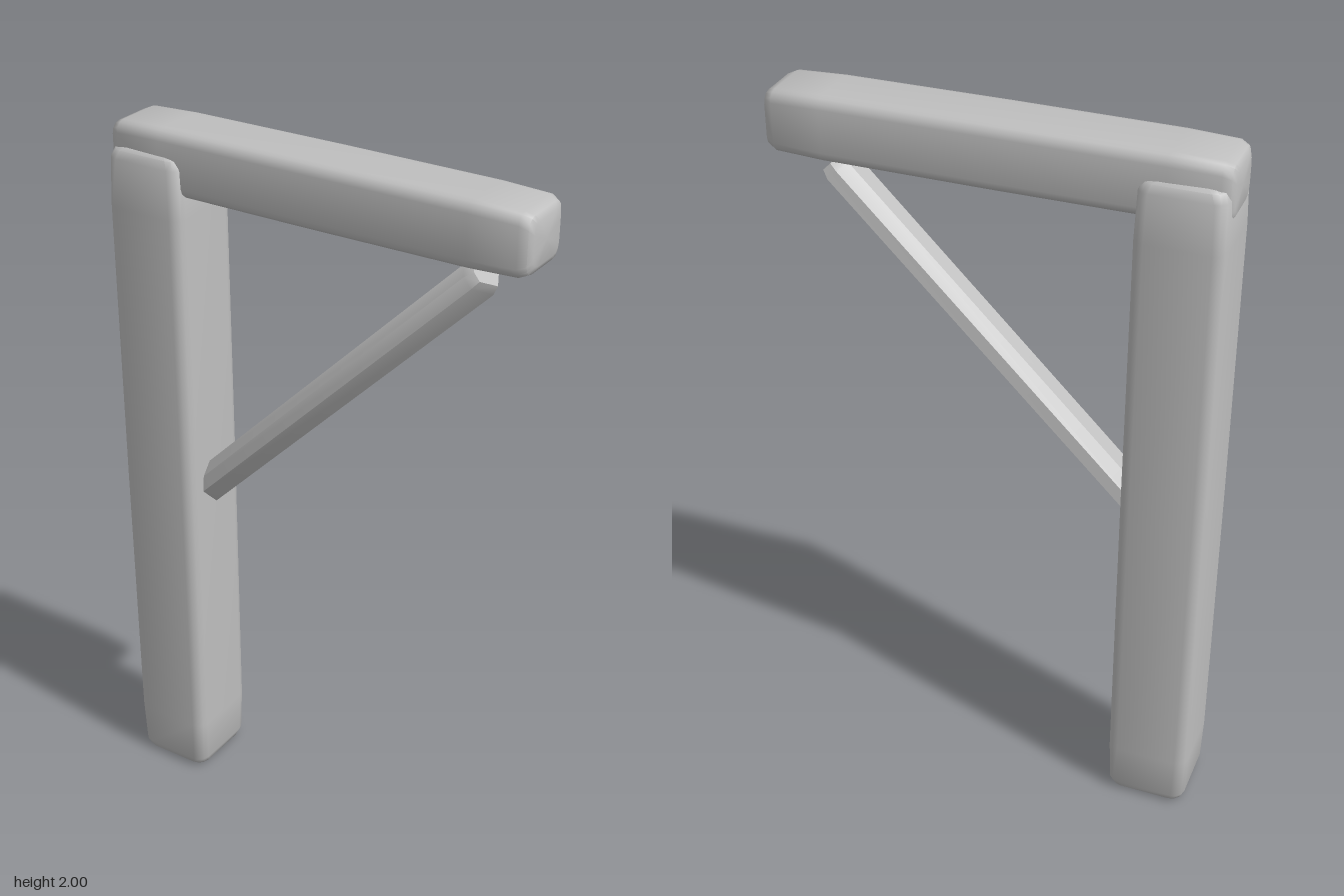
import * as THREE from 'three';
import { toCreasedNormals } from 'three/addons/utils/BufferGeometryUtils.js';

// Rounded rectangle outline in the x-z plane, half sizes a and b, corner radius r
function roundedRect(a, b, r, steps = 3) {
  const pts = [];
  [[1, 1], [-1, 1], [-1, -1], [1, -1]].forEach(([sx, sz], q) => {
    for (let i = 0; i <= steps; i++) {
      const t = (q + i / steps) * Math.PI / 2;
      pts.push([sx * (a - r) + r * Math.cos(t), sz * (b - r) + r * Math.sin(t)]);
    }
  });
  return pts;
}

// Skin a list of { y, ring } sections along +y and close both ends
function loft(sections, crease) {
  const pos = [], index = [], n = sections[0].ring.length;
  sections.forEach(({ y, ring }) => ring.forEach(([x, z]) => pos.push(x, y, z)));
  for (let k = 0; k < sections.length - 1; k++) {
    for (let i = 0; i < n; i++) {
      const a = k * n + i, b = k * n + (i + 1) % n;
      index.push(a, a + n, b, b, a + n, b + n);
    }
  }
  const last = (sections.length - 1) * n;
  const c = pos.length / 3;
  pos.push(0, sections[0].y, 0, 0, sections[sections.length - 1].y, 0);
  for (let i = 0; i < n; i++) {
    const j = (i + 1) % n;
    index.push(c, i, j, c + 1, last + j, last + i);
  }
  const g = new THREE.BufferGeometry();
  g.setAttribute('position', new THREE.Float32BufferAttribute(pos, 3));
  g.setIndex(index);
  return toCreasedNormals(g, crease);
}

// Worn timber: rounded bar whose ends draw in softly
function timber(length, a, b, r) {
  const ends = [[0, 0.03], [0.008, 0.014], [0.03, 0.005], [0.16, 0.001]];
  const ring = (inset) => roundedRect(a - inset, b - inset, r);
  const sections = ends.map(([y, s]) => ({ y, ring: ring(s) }));
  sections.push({ y: length / 2, ring: ring(0) });
  [...ends].reverse().forEach(([y, s]) => sections.push({ y: length - y, ring: ring(s) }));
  return loft(sections, 0.75);
}

export function createModel() {
  const model = new THREE.Group();
  model.name = 'bracketPost';
  const grey = new THREE.MeshStandardMaterial({ color: 0xbfbfbf });
  grey.name = 'grey';

  function add(name, geometry, x, y, tilt) {
    const mesh = new THREE.Mesh(geometry, grey);
    mesh.name = name;
    mesh.position.set(x, y, 0);
    mesh.rotation.z = -tilt;
    model.add(mesh);
  }

  // Upright post and the arm across its top
  add('post', timber(1.935, 0.117, 0.118, 0.032), -0.486, 0, 0);
  add('arm', timber(1.205, 0.086, 0.095, 0.028), -0.604, 1.914, Math.PI / 2);

  // Diagonal brace with a ridge along its underside (local +x faces down)
  const outline = [[0.05, 0], [0.008, 0.06], [-0.025, 0.055], [-0.05, 0.025],
    [-0.05, -0.025], [-0.025, -0.055], [0.008, -0.06]];
  const ring = (s) => outline.map(([x, z]) => [x * s, z * s]);
  add('brace', loft([
    { y: 0, ring: ring(1) },
    { y: 1.225, ring: ring(1) },
    { y: 1.25, ring: ring(0.8) },
  ], 0.6), -0.43, 0.91, Math.PI / 4);

  return model;
}
